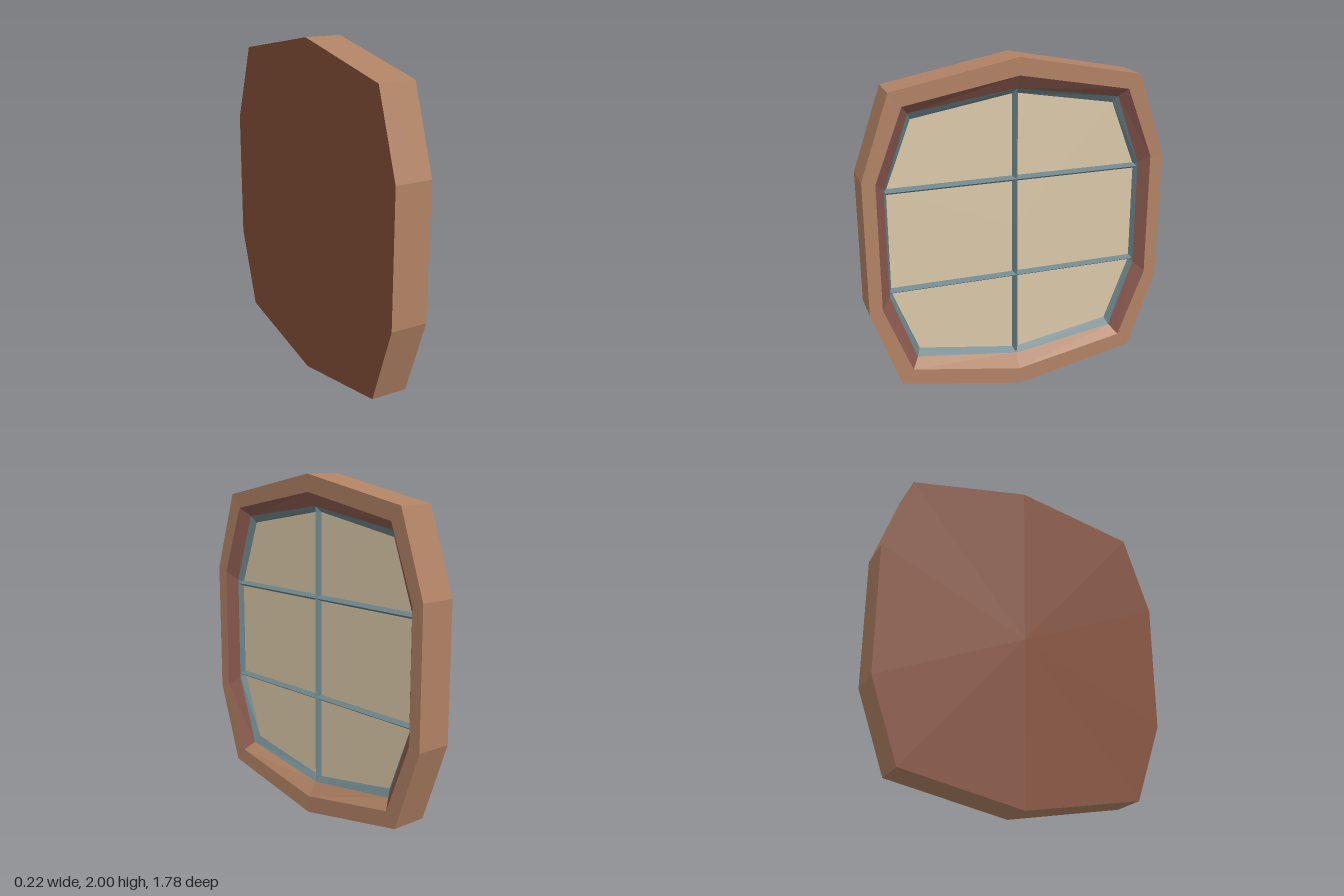
import * as THREE from 'three';

const mat = (name, color) => Object.assign(new THREE.MeshStandardMaterial({ color, flatShading: true }), { name });

// Ten-sided outline in the y-z plane, counter-clockwise seen from +x, mirrored about y = 1
function outline(x, top, cornerZ, cornerY, sideZ, sideY) {
  const half = [[0, top], [cornerZ, cornerY], [sideZ, sideY], [sideZ, -sideY], [cornerZ, -cornerY]];
  return [...half, ...half.map(([z, y]) => [-z, -y])].map(([z, y]) => new THREE.Vector3(x, 1 + y, z));
}

function fromTriangles(points) {
  const g = new THREE.BufferGeometry().setFromPoints(points);
  g.computeVertexNormals();
  return g;
}

// Strip of quads between two outlines, for the chosen sides
function band(a, b, sides = [0, 1, 2, 3, 4, 5, 6, 7, 8, 9]) {
  return fromTriangles(sides.flatMap((i) => {
    const j = (i + 1) % 10;
    return [a[i], a[j], b[j], a[i], b[j], b[i]];
  }));
}

// Flat fan filling an outline
function panel(ring) {
  const centre = new THREE.Vector3(ring[0].x, 1, 0);
  return fromTriangles(ring.flatMap((p, i) => [centre, p, ring[(i + 1) % 10]]));
}

export function createModel() {
  const group = new THREE.Group();
  const wood = mat('wood', 0xb08264);
  const redWood = mat('reddish wood', 0x8a594e);
  const backWood = mat('dark back wood', 0x85503a);
  const metal = mat('blue grey metal', 0x6b8489);
  const pane = mat('cream pane', 0xdac8a8);

  const add = (name, geometry, material) => {
    const mesh = new THREE.Mesh(geometry, material);
    mesh.name = name;
    group.add(mesh);
    return mesh;
  };

  // Outlines from the back, round the front and in to the pane
  const back = outline(-0.11, 1, 0.725, 0.86, 0.89, 0.39);
  const front = outline(0.107, 1, 0.725, 0.86, 0.89, 0.39);
  const lip = outline(0.105, 0.9, 0.655, 0.78, 0.815, 0.37);
  const step = outline(0.05, 0.82, 0.615, 0.73, 0.762, 0.32);
  const glass = outline(0.02, 0.79, 0.595, 0.69, 0.745, 0.305);

  // Outer frame and its recessed inner sides
  add('frameSides', band(back, front), wood);
  add('frameFront', band(front, lip), wood);
  add('sill', band(lip, step, [4, 5]), wood);
  add('innerReveal', band(lip, step, [0, 1, 2, 3, 6, 7, 8, 9]), redWood);
  add('backPanel', panel(back.slice().reverse()), backWood);

  // Window pane and its metal edging
  add('paneEdging', band(step, glass), metal);
  add('windowPane', panel(glass), pane);

  // Ridged glazing bars: triangular prisms with the ridge towards +x
  const bar = (name, length) => {
    const shape = new THREE.Shape([[0.018, -0.018], [0.05, 0], [0.018, 0.018]].map((p) => new THREE.Vector2(...p)));
    const g = new THREE.ExtrudeGeometry(shape, { depth: length, bevelEnabled: false });
    return add(name, g.translate(0, 0, -length / 2), metal);
  };
  for (const y of [0.703, 1.297]) bar('horizontalBar', 1.51).position.y = y;
  const upright = bar('verticalBar', 1.63);
  upright.rotation.x = Math.PI / 2;
  upright.position.y = 1;

  return group;
}
